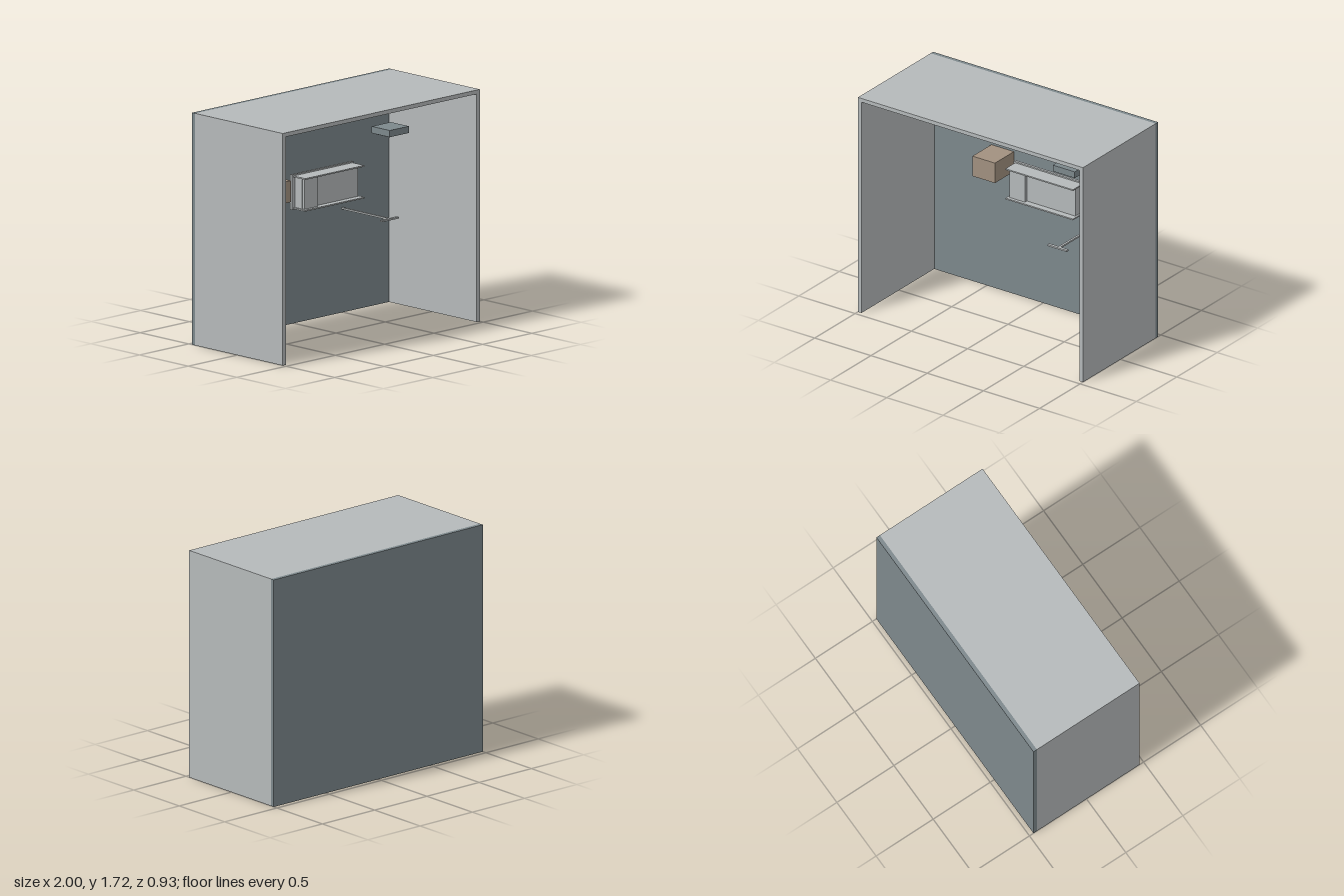
import * as THREE from 'three';

export function createModel() {
  const model = new THREE.Group();
  model.name = 'openBooth';

  const material = (name, color) => {
    const m = new THREE.MeshStandardMaterial({ color });
    m.name = name;
    return m;
  };
  const lightGrey = material('lightGrey', 0xb5b9ba);
  const slate = material('slateGrey', 0x7d888c);
  const tan = material('tan', 0xa29180);

  // Box given by its limits along each axis
  const box = (name, mat, [x0, x1], [y0, y1], [z0, z1], parent = model) => {
    const mesh = new THREE.Mesh(new THREE.BoxGeometry(x1 - x0, y1 - y0, z1 - z0), mat);
    mesh.position.set((x0 + x1) / 2, (y0 + y1) / 2, (z0 + z1) / 2);
    mesh.name = name;
    parent.add(mesh);
    return mesh;
  };

  // Enclosure: back panel, two side walls and a roof
  const back = -0.435;
  box('backPanel', slate, [-1, 1], [0, 1.72], [-0.465, back]);
  box('roof', lightGrey, [-1, 1], [1.69, 1.72], [back, 0.465]);
  box('leftWall', lightGrey, [0.968, 1], [0, 1.69], [back, 0.465]);
  box('rightWall', lightGrey, [-1, -0.968], [0, 1.69], [back, 0.465]);

  // Upper equipment box with a raised cap
  box('upperUnit', lightGrey, [-0.795, -0.525], [1.47, 1.62], [back, -0.15]);
  box('upperUnitCap', lightGrey, [-0.74, -0.58], [1.62, 1.655], [back, -0.2]);

  // Tan boxes on the back panel
  box('smallTanBox', tan, [-0.455, -0.335], [1.53, 1.62], [back, -0.25]);
  box('largeTanBox', tan, [-0.46, -0.26], [0.98, 1.14], [back, -0.2]);

  // Slate boxes at the upper corner
  box('cornerUnit', slate, [0.555, 0.9], [1.52, 1.655], [back, -0.1]);
  box('hangingUnit', slate, [0.46, 0.655], [1.39, 1.44], [-0.1, 0.086]);
  box('hangingUnitBase', slate, [0.475, 0.635], [1.384, 1.39], [-0.08, 0.066]);

  // Framed central unit: rear flange, body, raised block and two shelves
  const unit = new THREE.Group();
  unit.name = 'centralUnit';
  model.add(unit);
  box('rearFlange', lightGrey, [-0.16, 0.465], [0.89, 1.15], [-0.31, -0.29], unit);
  box('unitBody', lightGrey, [-0.13, 0.44], [0.905, 1.13], [-0.29, -0.22], unit);
  box('raisedBlock', lightGrey, [-0.125, 0.01], [0.905, 1.13], [-0.22, -0.195], unit);
  for (const [name, y] of [['topShelf', 1.13], ['bottomShelf', 0.895]]) {
    box(name, lightGrey, [-0.145, 0.455], [y, y + 0.01], [-0.29, -0.17], unit);
  }

  // T-shaped bracket reaching forward from the back panel
  box('bracketStem', lightGrey, [0.483, 0.5], [0.767, 0.779], [back, 0.045]);
  box('bracketBar', lightGrey, [0.4, 0.57], [0.767, 0.779], [0.045, 0.068]);

  return model;
}
